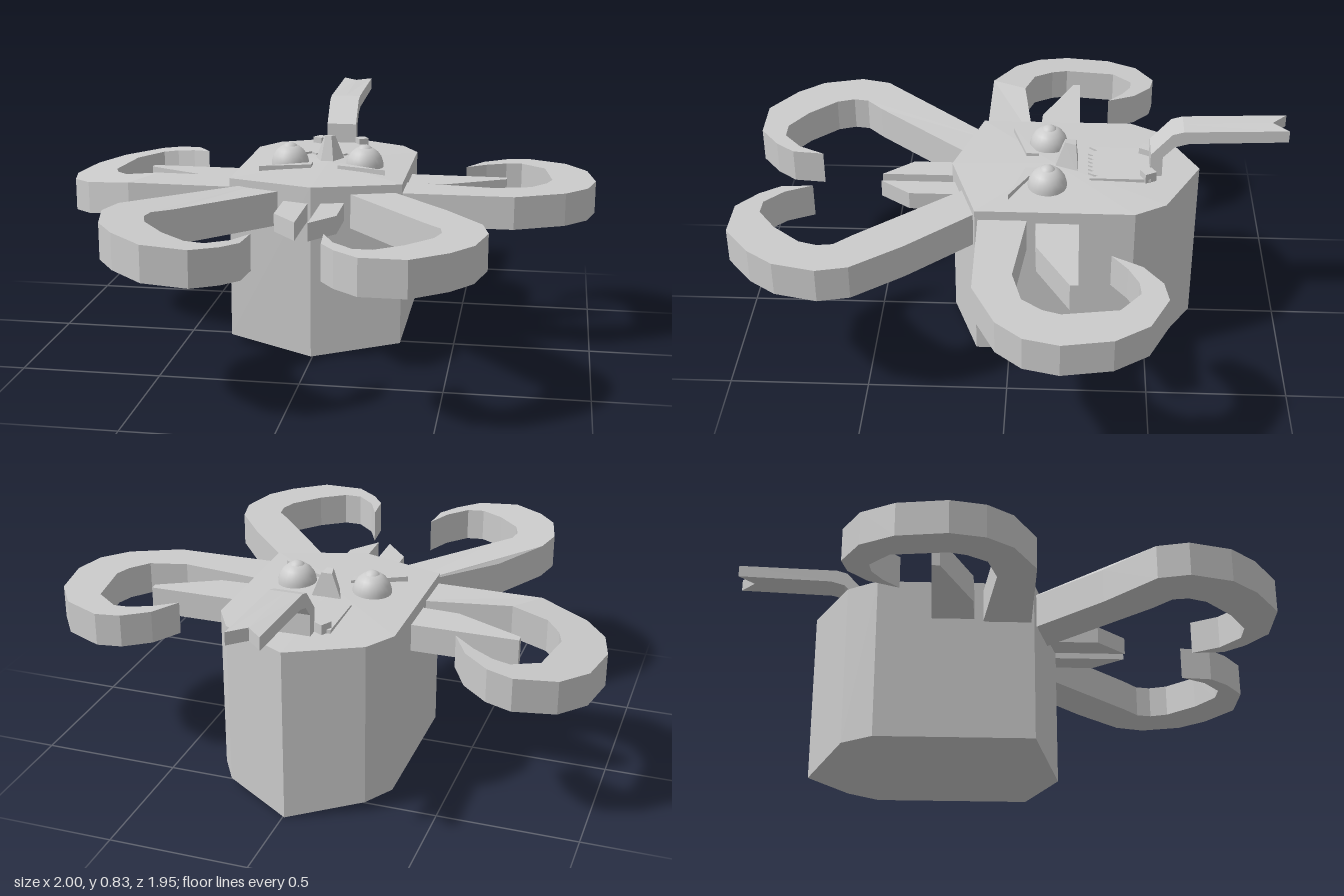
import * as THREE from 'three';
import { ConvexGeometry } from 'three/addons/geometries/ConvexGeometry.js';

const flat = new THREE.MeshStandardMaterial({ color: 0xcccccc, flatShading: true });
const smooth = new THREE.MeshStandardMaterial({ color: 0xcccccc });

export function createModel() {
  const model = new THREE.Group();

  const add = (name, geometry, material = flat) => {
    const mesh = new THREE.Mesh(geometry, material);
    mesh.name = name;
    model.add(mesh);
    return mesh;
  };

  // Slab from a plan outline of [x, z] points between two heights; lift(x, z) tilts parts of it
  const slab = (name, points, y0, y1, side = 1, lift = null) => {
    const shape = new THREE.Shape(points.map(([x, z]) => new THREE.Vector2(x * side, -z)));
    const geo = new THREE.ExtrudeGeometry(shape, { depth: y1 - y0, bevelEnabled: false });
    geo.rotateX(-Math.PI / 2).translate(0, y0, 0);
    if (lift) {
      const p = geo.attributes.position;
      for (let i = 0; i < p.count; i++) p.setY(i, p.getY(i) + lift(p.getX(i), p.getZ(i)));
      geo.computeVertexNormals();
    }
    return add(name, geo);
  };

  // Body: faceted drum with a slightly domed top and a keeled underside
  const half = [[0.316, 0.12], [0.316, -0.44], [0.25, -0.55]];
  const ring = [[0, 0.22], ...half, [0, -0.68], ...half.map(([x, z]) => [-x, z]).reverse()];
  const verts = [];
  const tri = (...corners) => corners.forEach((c) => verts.push(...c));
  const top = ring.map(([x, z]) => [x - 0.006, 0.635, z]);
  const bottom = ring.map(([x, z]) => [x - 0.006, x === 0 ? 0 : 0.035, z]);
  const topMid = [0, 0.65, -0.15], bottomMid = [0, 0, -0.2];
  ring.forEach((_, i) => {
    const j = (i + 1) % ring.length;
    tri(topMid, top[i], top[j]);
    tri(bottomMid, bottom[j], bottom[i]);
    tri(bottom[i], bottom[j], top[j]);
    tri(bottom[i], top[j], top[i]);
  });
  const bodyGeo = new THREE.BufferGeometry();
  bodyGeo.setAttribute('position', new THREE.Float32BufferAttribute(verts, 3));
  bodyGeo.computeVertexNormals();
  add('body', bodyGeo);

  // Curled arms: outer edge out to the tip, inner edge back
  const sideArm = [
    [0.25, 0.11], [0.71, 0.105], [0.89, 0.02], [0.97, -0.07], [1, -0.19], [0.97, -0.36],
    [0.89, -0.475], [0.75, -0.54], [0.66, -0.525], [0.57, -0.46], [0.51, -0.355],
    [0.585, -0.41], [0.66, -0.445], [0.72, -0.45], [0.81, -0.38], [0.84, -0.19],
    [0.82, -0.13], [0.765, -0.06], [0.63, -0.025], [0.25, -0.07],
  ];
  const frontArm = [
    [0.2, 0.03], [0.29, 0.13], [0.49, 0.35], [0.62, 0.52], [0.645, 0.63], [0.61, 0.78],
    [0.54, 0.875], [0.42, 0.97], [0.265, 0.97], [0.18, 0.9], [0.13, 0.83], [0.12, 0.715],
    [0.165, 0.81], [0.235, 0.875], [0.3, 0.875], [0.39, 0.81], [0.475, 0.71],
    [0.495, 0.645], [0.487, 0.59], [0.43, 0.53], [0.1, 0.14],
  ];
  const sideTilt = (x, z) => (x < -0.6 || z < -0.3 ? -0.04 + 0.14 * (x + 1) : 0);
  const frontTilt = (x, z) => (z > 0.4 ? 0.025 - 0.07 * (x + 0.63) : 0);
  slab('leftSideArm', sideArm, 0.48, 0.6, 1);
  slab('rightSideArm', sideArm, 0.48, 0.6, -1, sideTilt);
  slab('leftFrontArm', frontArm, 0.48, 0.605, 1);
  slab('rightFrontArm', frontArm, 0.48, 0.605, -1, frontTilt);

  // Short straight limbs at the sides and front
  for (const side of [1, -1]) {
    const reach = side > 0 ? 0.67 : 0.705;
    slab('sideSpike', [[0.25, -0.245], [reach, -0.245], [reach, -0.217], [0.455, -0.1], [0.25, -0.09]],
      0.49, 0.59, side);
    const inner = side > 0 ? 0.028 : 0.018;
    slab('frontStub', [[inner, 0.1], [inner, 0.48], [0.11, 0.37], [0.11, 0.1]], 0.51, 0.575, side);

    // Eye dome with a small pupil on top
    const dome = [[0.07, 0.63], [0.07, 0.655], [0.063, 0.678], [0.05, 0.696], [0.032, 0.71], [0, 0.717]];
    const eye = add('eye', new THREE.LatheGeometry(dome.map(([r, y]) => new THREE.Vector2(r, y)), 24), smooth);
    eye.position.set(side * 0.142, 0, -0.13);
    const pupil = add('pupil', new THREE.SphereGeometry(0.034, 16, 10), smooth);
    pupil.position.set(side * 0.142, 0.69, -0.13);

    // Slanted brow and the small nub behind the mouth
    slab('brow', [[0.05, -0.095], [0.05, -0.05], [0.235, 0.005]], 0.63, 0.658, side);
    const nub = add('mouthNub', new THREE.BoxGeometry(0.04, 0.04, 0.045));
    nub.position.set(side * 0.083, 0.655, -0.49);
    nub.rotation.y = side * 0.5;
  }

  // Nose: upright wedge, steep at the back
  add('nose', new ConvexGeometry([1, -1].flatMap((s) => [
    new THREE.Vector3(s * 0.06 - 0.006, 0.63, -0.24),
    new THREE.Vector3(s * 0.026 - 0.006, 0.63, -0.15),
    new THREE.Vector3(s * 0.02 - 0.006, 0.735, -0.23),
    new THREE.Vector3(s * 0.012 - 0.006, 0.74, -0.19),
  ])));

  // Mouth: thin plate whose front edge is a row of teeth with a fang at each end
  const teeth = [[-0.115, -0.5], [-0.115, -0.28], [-0.09, -0.31]];
  for (let i = 0; i <= 12; i++) teeth.push([-0.08 + i * 0.0133, i % 2 ? -0.275 : -0.295]);
  teeth.push([0.085, -0.31], [0.105, -0.28], [0.105, -0.5]);
  slab('mouth', teeth, 0.62, 0.652);

  // Tail: bent strip from a side profile of [z, y], notched at its end
  const profile = [
    [-0.497, 0.62], [-0.497, 0.727], [-0.57, 0.81], [-0.61, 0.822], [-0.98, 0.835],
    [-0.98, 0.79], [-0.63, 0.775], [-0.58, 0.76], [-0.54, 0.717], [-0.54, 0.62],
  ];
  const tailShape = new THREE.Shape(profile.map(([z, y]) => new THREE.Vector2(-z, y)));
  const tailGeo = new THREE.ExtrudeGeometry(tailShape, { depth: 0.115, steps: 2, bevelEnabled: false });
  tailGeo.translate(0, 0, -0.0575).rotateY(Math.PI / 2);
  const p = tailGeo.attributes.position;
  for (let i = 0; i < p.count; i++) {
    if (Math.abs(p.getX(i)) < 0.01 && p.getZ(i) < -0.9) p.setZ(i, -0.925);
  }
  tailGeo.computeVertexNormals();
  add('tail', tailGeo);

  return model;
}
